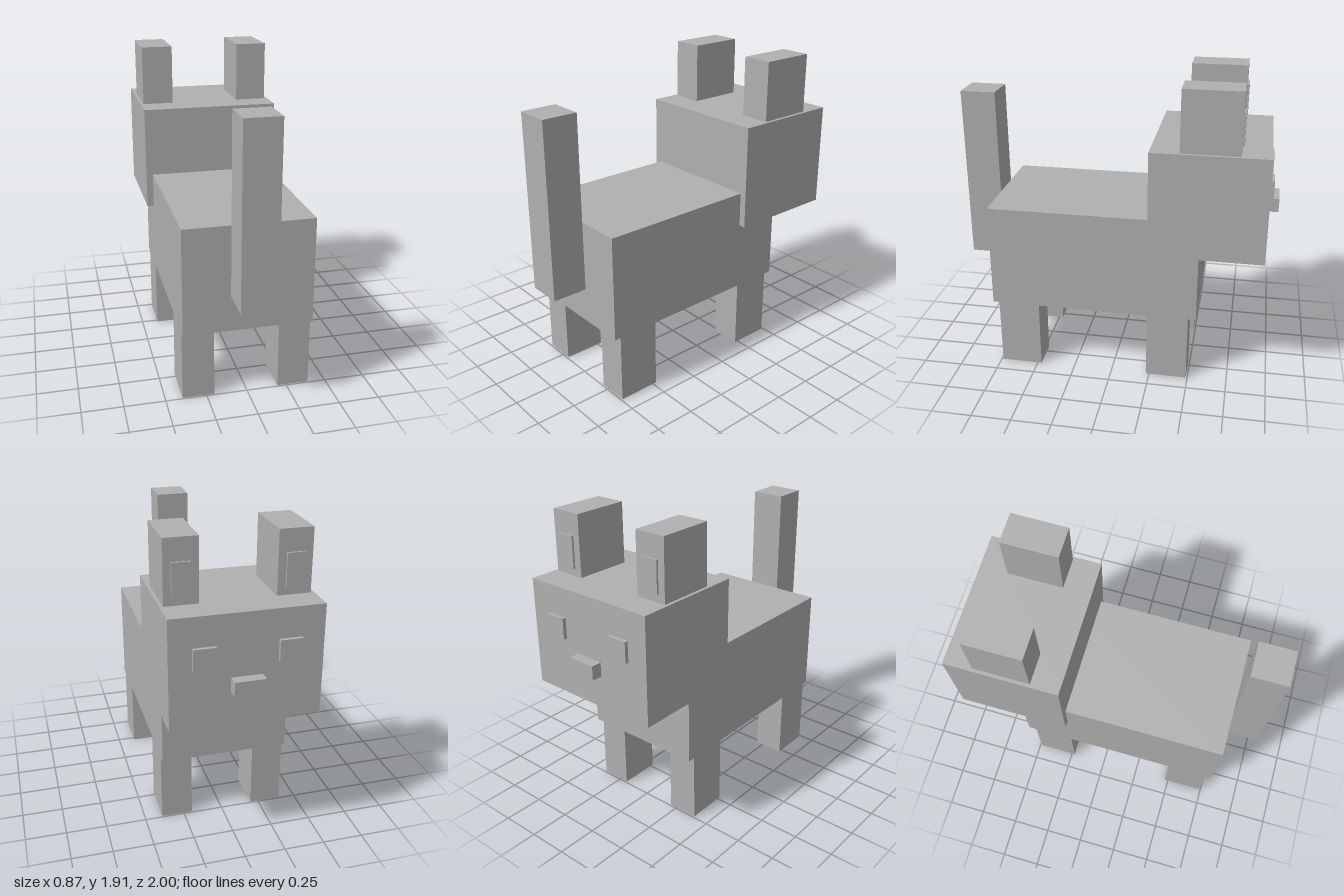
import * as THREE from 'three';

export function createModel() {
  const model = new THREE.Group();
  model.name = 'blockAnimal';

  const grey = new THREE.MeshStandardMaterial({ color: 0xb0b0b0 });
  grey.name = 'grey';

  // Box given by its extents along each axis
  function block(name, [x0, x1], [y0, y1], [z0, z1]) {
    const mesh = new THREE.Mesh(new THREE.BoxGeometry(x1 - x0, y1 - y0, z1 - z0), grey);
    mesh.position.set((x0 + x1) / 2, (y0 + y1) / 2, (z0 + z1) / 2);
    mesh.name = name;
    model.add(mesh);
  }

  // The same box on both sides of the centre line, which sits just off x = 0
  const centre = -0.003;
  function pair(name, [x0, x1], y, z) {
    block(name, [centre + x0, centre + x1], y, z);
    block(name, [centre - x1, centre - x0], y, z);
  }

  // Trunk, head and tail; the head points to -z
  block('body', [-0.397, 0.391], [0.44, 1.1], [-0.54, 0.78]);
  block('head', [-0.44, 0.434], [0.88, 1.54], [-0.935, -0.23]);
  block('tail', [-0.111, 0.105], [0.66, 1.76], [0.78, 1]);

  // Legs
  pair('frontLeg', [0.199, 0.394], [0, 0.44], [-0.49, -0.23]);
  pair('rearLeg', [0.199, 0.394], [0, 0.44], [0.475, 0.74]);

  // Ears with raised inner panels
  pair('ear', [0.22, 0.417], [1.54, 1.915], [-0.758, -0.407]);
  pair('innerEar', [0.267, 0.373], [1.587, 1.783], [-0.77, -0.758]);

  // Face
  pair('eye', [0.177, 0.307], [1.235, 1.363], [-0.957, -0.935]);
  block('nose', [-0.093, 0.087], [1.08, 1.167], [-1, -0.935]);

  return model;
}
